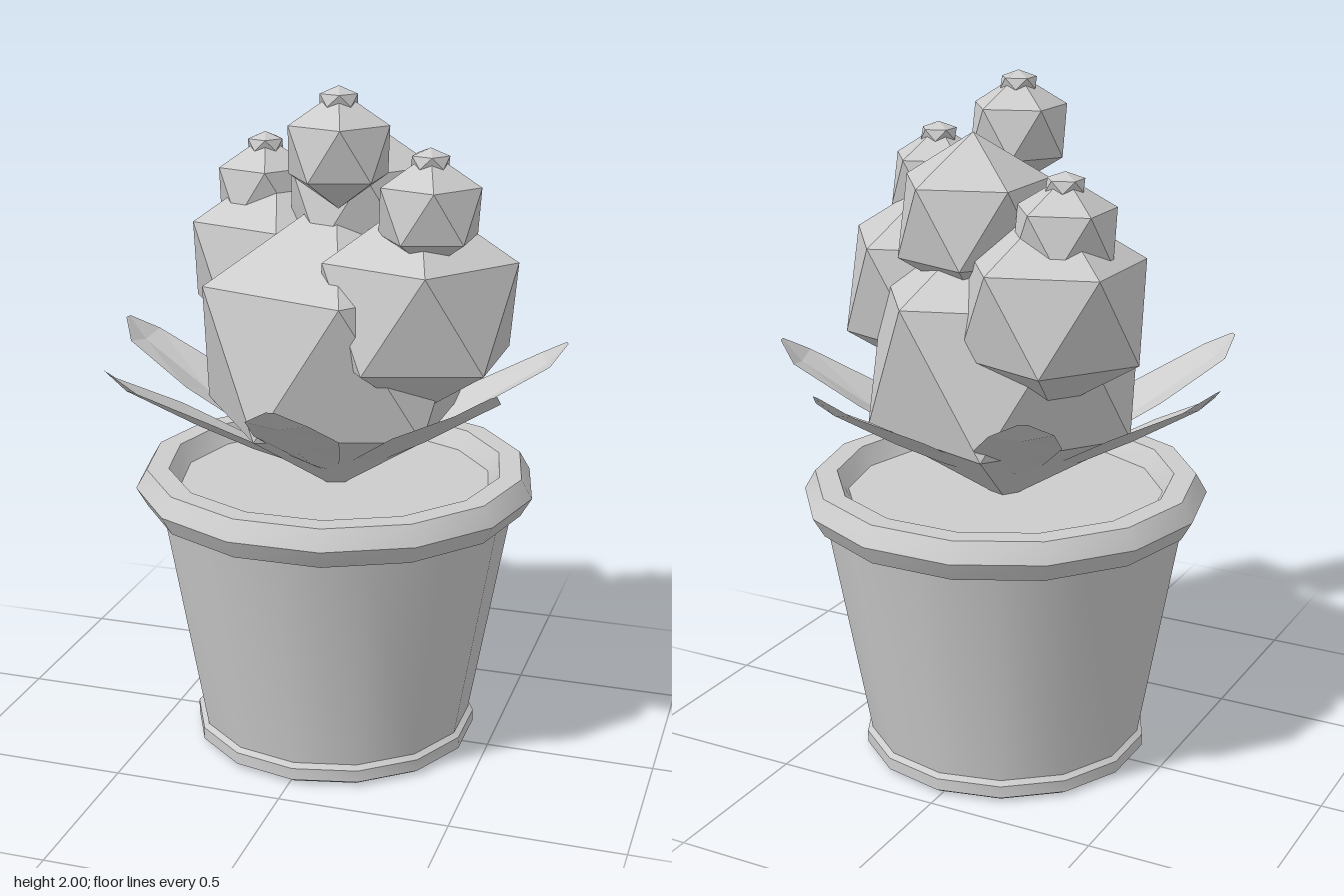
import * as THREE from 'three';
import { toCreasedNormals } from 'three/addons/utils/BufferGeometryUtils.js';

export function createModel() {
  const model = new THREE.Group();
  model.name = 'pottedSucculent';
  const grey = new THREE.MeshStandardMaterial({ color: 0xcccccc, side: THREE.DoubleSide });
  grey.name = 'paleGrey';

  const add = (name, geometry, x, y, z) => {
    const mesh = new THREE.Mesh(geometry, grey);
    mesh.name = name;
    mesh.position.set(x, y, z);
    model.add(mesh);
    return mesh;
  };

  // Pot: 14-sided tapered wall with a beveled foot, hexagonal rim and soil
  const potX = 0.01, potZ = -0.02;
  const profile = [[0, 0], [0.405, 0], [0.427, 0.014], [0.427, 0.05], [0.412, 0.062], [0.535, 0.76]]
    .map(([r, y]) => new THREE.Vector2(r, y));
  add('pot', toCreasedNormals(new THREE.LatheGeometry(profile, 14), 0.55), potX, 0, potZ);
  const rim = new THREE.TorusGeometry(0.53, 0.065, 6, 14).rotateX(-Math.PI / 2);
  add('potRim', toCreasedNormals(rim, 0.55), potX, 0.8, potZ);
  add('soil', new THREE.CircleGeometry(0.5, 14).rotateX(-Math.PI / 2), potX, 0.8, potZ);

  // Cactus lobes: icosahedra standing on a vertex, with another vertex ring starting at +x
  const ico = new THREE.IcosahedronGeometry(1, 0).rotateZ(-Math.atan(2 / (1 + Math.sqrt(5))));
  const lobe = (name, x, y, z, r) => add(name, ico, x, y, z).scale.setScalar(r);
  lobe('mainLobe', 0.01, 1.22, -0.02, 0.447);
  lobe('leftLobe', 0.283, 1.38, 0.09, 0.317);
  lobe('rightLobe', -0.224, 1.42, -0.183, 0.29);
  lobe('topLobe', 0.06, 1.63, -0.11, 0.24);

  // Buds, each with a small flattened cap
  [[0.09, 1.828, 0.22], [0.335, 1.668, 0.18], [-0.262, 1.628, -0.19]].forEach(([x, y, z]) => {
    lobe('bud', x, y, z, 0.16);
    add('budCap', ico, x, y + 0.136, z).scale.set(0.06, 0.036, 0.06);
  });

  // Leaf: sections of [radius, height, half width, keel depth] joined into a keeled blade
  const sections = [
    [0.04, 0.84, 0.03, 0], [0.25, 0.965, 0.085, 0.03], [0.42, 1.065, 0.12, 0.035],
    [0.63, 1.175, 0.085, 0.015], [0.69, 1.225, 0.012, 0],
  ];
  const points = [], index = [];
  sections.forEach(([r, y, w, dip], i) => {
    points.push(r, y, w, r, y - dip, 0, r, y, -w);
    if (i === 0) return;
    for (let j = 0; j < 2; j++) {
      const a = (i - 1) * 3 + j, b = a + 3;
      index.push(a, b, a + 1, b, b + 1, a + 1);
    }
  });
  const blade = new THREE.BufferGeometry();
  blade.setAttribute('position', new THREE.Float32BufferAttribute(points, 3));
  blade.setIndex(index);
  const leaf = blade.toNonIndexed();
  leaf.computeVertexNormals();
  for (let k = 0; k < 7; k++) {
    add('leaf', leaf, 0, 0, 0).rotation.y = -THREE.MathUtils.degToRad(34.3 + k * 360 / 7);
  }
  return model;
}
